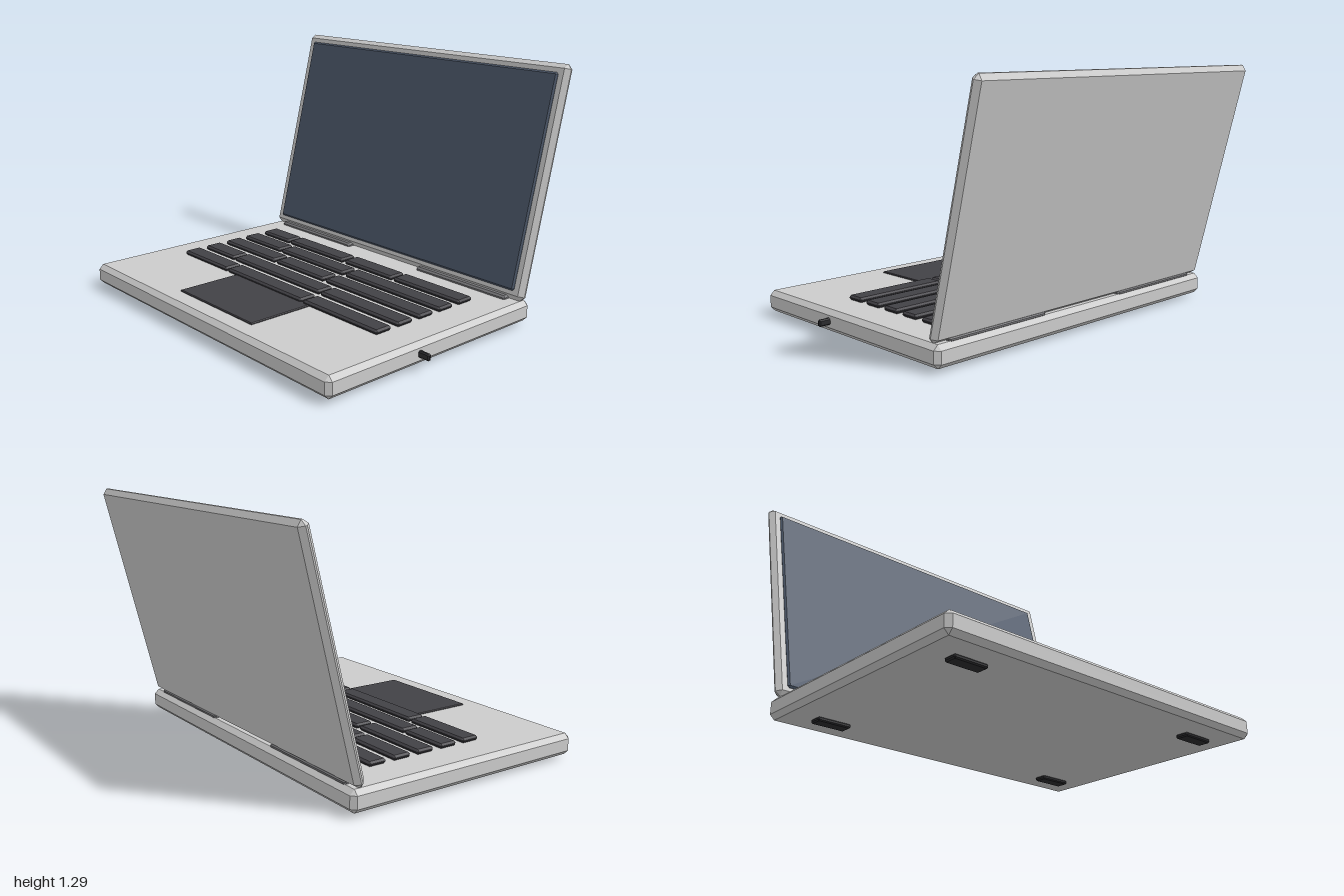
import * as THREE from 'three';
import { ConvexGeometry } from 'three/addons/geometries/ConvexGeometry.js';

const material = (color) => new THREE.MeshStandardMaterial({ color, flatShading: true });

// Box with every edge chamfered by c, centred on its own origin
function chamferBox(w, h, d, c) {
  const points = [];
  for (const sx of [-1, 1]) for (const sy of [-1, 1]) for (const sz of [-1, 1]) {
    const x = w / 2, y = h / 2, z = d / 2;
    points.push(
      new THREE.Vector3(sx * x, sy * (y - c), sz * (z - c)),
      new THREE.Vector3(sx * (x - c), sy * y, sz * (z - c)),
      new THREE.Vector3(sx * (x - c), sy * (y - c), sz * z));
  }
  return new ConvexGeometry(points);
}

// Chamfered block given by its extents on each axis
function block(parent, name, mat, [x0, x1], [y0, y1], [z0, z1], c) {
  const mesh = new THREE.Mesh(chamferBox(x1 - x0, y1 - y0, z1 - z0, c), mat);
  mesh.position.set((x0 + x1) / 2, (y0 + y1) / 2, (z0 + z1) / 2);
  mesh.name = name;
  parent.add(mesh);
  return mesh;
}

export function createModel() {
  const model = new THREE.Group();
  model.name = 'laptop';
  const shell = material(0xcccccc);
  const keyMat = material(0x424146);
  const rubber = material(0x2b2b2e);
  const hingeMat = material(0x77777a);
  const glass = material(0x4d596b);

  // Base
  block(model, 'base', shell, [-1, 0.94], [0.02, 0.13], [-0.55, 0.81], 0.024);

  // Keyboard: key extents along x for each row, back to front
  const keyboard = new THREE.Group();
  keyboard.name = 'keyboard';
  model.add(keyboard);
  const rows = [
    [-0.268, [-0.81, -0.575, -0.56, -0.105, -0.085, 0.28, 0.295, 0.755]],
    [-0.125, [-0.81, -0.48, -0.465, 0.055, 0.075, 0.755]],
    [0.016, [-0.81, -0.355, -0.335, 0.055, 0.075, 0.755]],
    [0.159, [-0.81, -0.54, -0.525, 0.185, 0.2, 0.755]],
    [0.301, [-0.81, -0.415, -0.4, 0.215, 0.23, 0.755]],
  ];
  for (const [z, xs] of rows) {
    for (let i = 0; i < xs.length; i += 2) {
      block(keyboard, 'key', keyMat, [xs[i], xs[i + 1]], [0.131, 0.156], [z - 0.051, z + 0.051], 0.01);
    }
  }

  // Trackpad
  block(model, 'trackpad', keyMat, [-0.33, 0.27], [0.126, 0.138], [0.325, 0.7], 0.004);

  // Hinges, feet
  for (const s of [-1, 1]) {
    const hx = -0.03 + s * 0.575;
    block(model, 'hinge', hingeMat, [hx - 0.305, hx + 0.305], [0.12, 0.148], [-0.53, -0.45], 0.01);
    const fx = -0.03 + s * 0.73;
    for (const fz of [-0.368, 0.635]) {
      block(model, 'foot', rubber, [fx - 0.09, fx + 0.09], [0, 0.021], [fz - 0.035, fz + 0.035], 0.006);
    }
  }

  // Small plug on the left side
  block(model, 'sidePlug', rubber, [0.92, 1], [0.06, 0.094], [0.244, 0.265], 0.006);

  // Lid, leaning back about its bottom edge
  const lid = new THREE.Group();
  lid.name = 'lid';
  lid.position.set(-0.03, 0.13, -0.495);
  lid.rotation.x = -Math.atan2(0.293, 1.165);
  model.add(lid);
  block(lid, 'lidShell', shell, [-0.97, 0.97], [0, 1.2], [-0.028, 0.028], 0.024);
  block(lid, 'screen', glass, [-0.917, 0.917], [0.045, 1.152], [0.018, 0.038], 0.009);

  return model;
}
